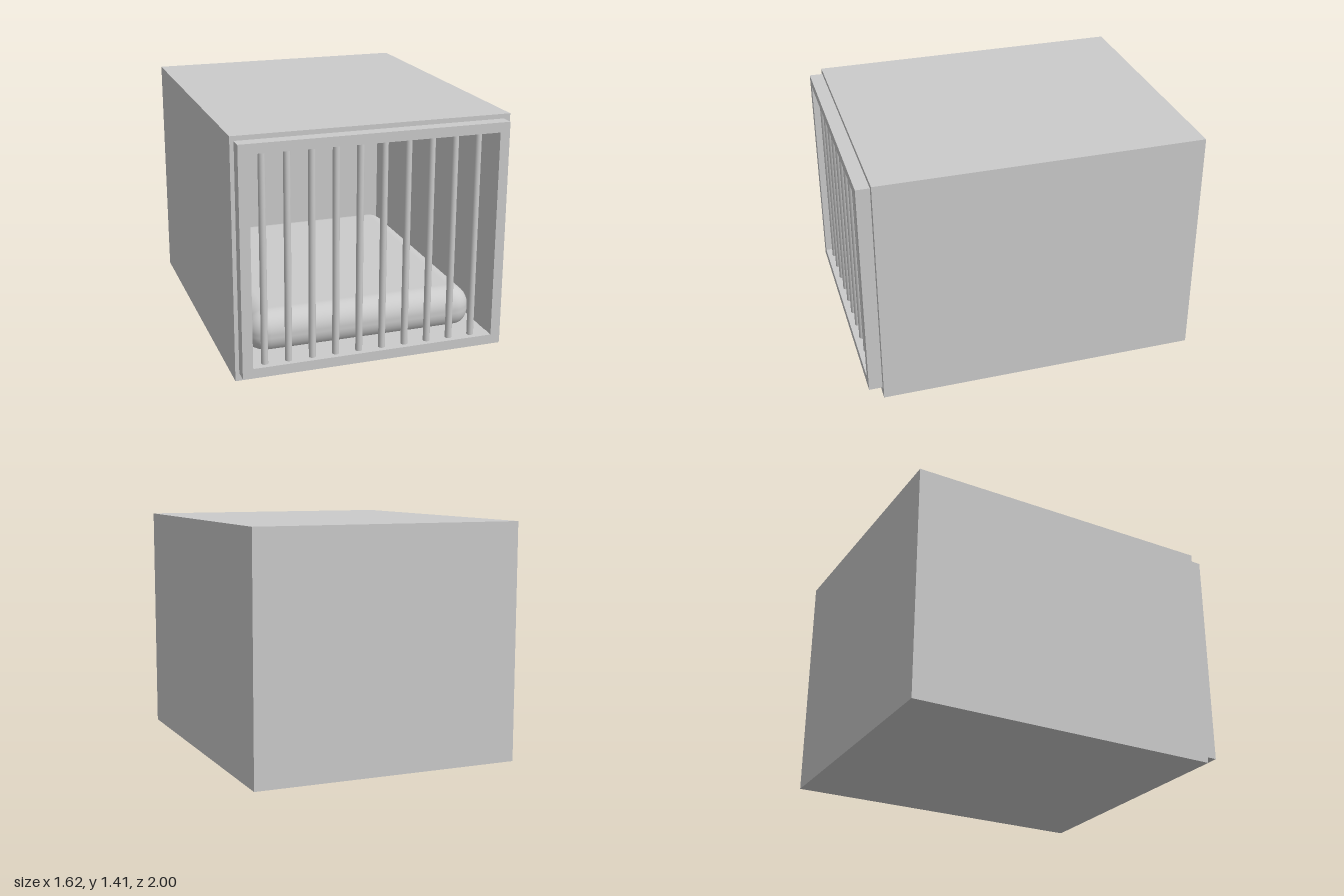
import * as THREE from 'three';
import { RoundedBoxGeometry } from 'three/addons/geometries/RoundedBoxGeometry.js';

const material = new THREE.MeshStandardMaterial({ color: 0xcccccc });

function add(parent, name, geometry, x = 0, y = 0, z = 0) {
  const mesh = new THREE.Mesh(geometry, material);
  mesh.name = name;
  mesh.position.set(x, y, z);
  parent.add(mesh);
  return mesh;
}

// Rectangular outline from its left, bottom, right and top edges
function rectangle(Type, [x0, y0, x1, y1]) {
  return new Type([
    new THREE.Vector2(x0, y0), new THREE.Vector2(x1, y0),
    new THREE.Vector2(x1, y1), new THREE.Vector2(x0, y1),
  ]);
}

// Rectangular ring, extruded towards +z
function ring(outer, inner, depth) {
  const shape = rectangle(THREE.Shape, outer);
  shape.holes.push(rectangle(THREE.Path, inner));
  return new THREE.ExtrudeGeometry(shape, { depth, bevelEnabled: false });
}

export function createModel() {
  const group = new THREE.Group();
  group.name = 'kennel';

  // Box shell, open at the front
  add(group, 'shellWalls', ring([-0.81, 0, 0.81, 1.41], [-0.718, 0.093, 0.718, 1.317], 1.83), 0, 0, -0.91);
  add(group, 'backPanel', new THREE.BoxGeometry(1.62, 1.41, 0.09), 0, 0.705, -0.955);

  // Barred door standing proud of the front
  const door = new THREE.Group();
  door.name = 'door';
  group.add(door);
  add(door, 'doorFrame', ring([-0.787, 0.046, 0.772, 1.383], [-0.727, 0.1, 0.714, 1.326], 0.08), 0, 0, 0.92);
  const bar = new THREE.CylinderGeometry(0.02, 0.02, 1.32, 16);
  for (let i = 0; i < 10; i++) {
    add(door, 'doorBar', bar, -0.648 + i * 0.139, 0.70, 0.95);
  }

  // Cushion lying on the floor
  add(group, 'cushion', new RoundedBoxGeometry(1.38, 0.26, 1.6, 5, 0.12), 0.005, 0.18, 0);

  return group;
}
